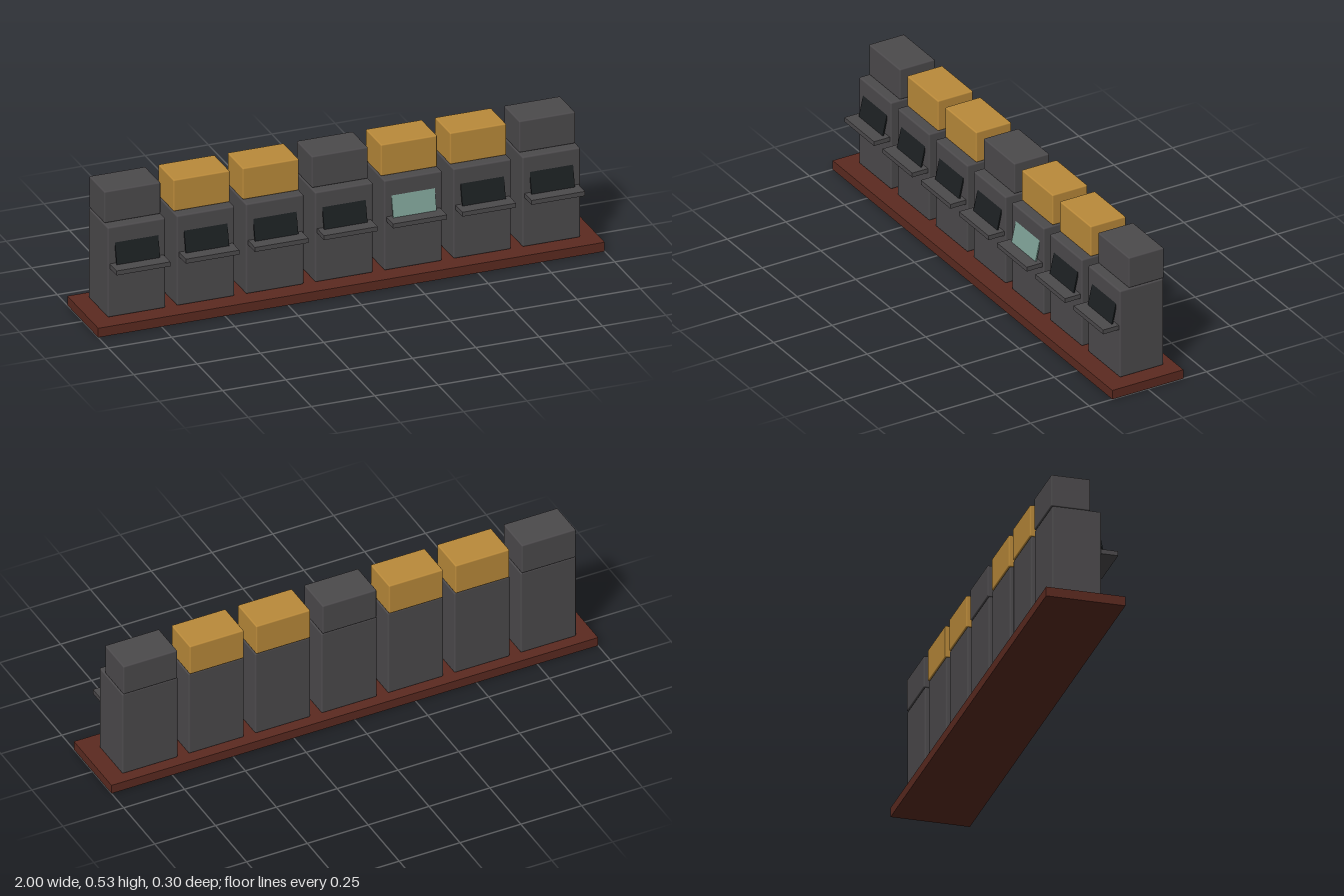
import * as THREE from 'three';
import { RoundedBoxGeometry } from 'three/addons/geometries/RoundedBoxGeometry.js';

const COUNT = 7, SPACING = 0.273;
const GOLD = [1, 2, 4, 5]; // machines with a gold top box
const LIT = 4;             // machine with its screen on

export function createModel() {
  const root = new THREE.Group();
  root.name = 'machineRow';
  const mat = (color) => new THREE.MeshStandardMaterial({ color });
  const grey = mat(0x4c4a4c), gold = mat(0xba8a3a), wood = mat(0x5c2a20);
  const dark = mat(0x1c2022), lit = mat(0x7d9f95);

  const add = (parent, name, geometry, material, x, y, z) => {
    const mesh = new THREE.Mesh(geometry, material);
    mesh.name = name;
    mesh.position.set(x, y, z);
    parent.add(mesh);
    return mesh;
  };

  // Shared geometries
  const cabinet = new RoundedBoxGeometry(0.228, 0.363, 0.187, 3, 0.006);
  const topBox = new RoundedBoxGeometry(0.222, 0.127, 0.15, 3, 0.005);
  const shelf = new THREE.BoxGeometry(0.212, 0.018, 0.07);
  const screen = new THREE.BoxGeometry(0.171, 0.092, 0.005);

  // Plinth under the whole row
  add(root, 'base', new THREE.BoxGeometry(2, 0.037, 0.303), wood, 0, 0.0185, 0);

  for (let i = 0; i < COUNT; i++) {
    const machine = new THREE.Group();
    machine.name = `machine${i + 1}`;
    machine.position.x = (i - (COUNT - 1) / 2) * SPACING;
    add(machine, 'cabinet', cabinet, grey, 0, 0.2185, -0.0145);
    add(machine, 'topBox', topBox, GOLD.includes(i) ? gold : grey, 0, 0.4635, -0.036);
    add(machine, 'shelf', shelf, grey, 0, 0.244, 0.111);
    // Screen leans back from the shelf against the cabinet
    add(machine, 'screen', screen, i === LIT ? lit : dark, 0, 0.2965, 0.085).rotation.x = -0.215;
    root.add(machine);
  }
  return root;
}
